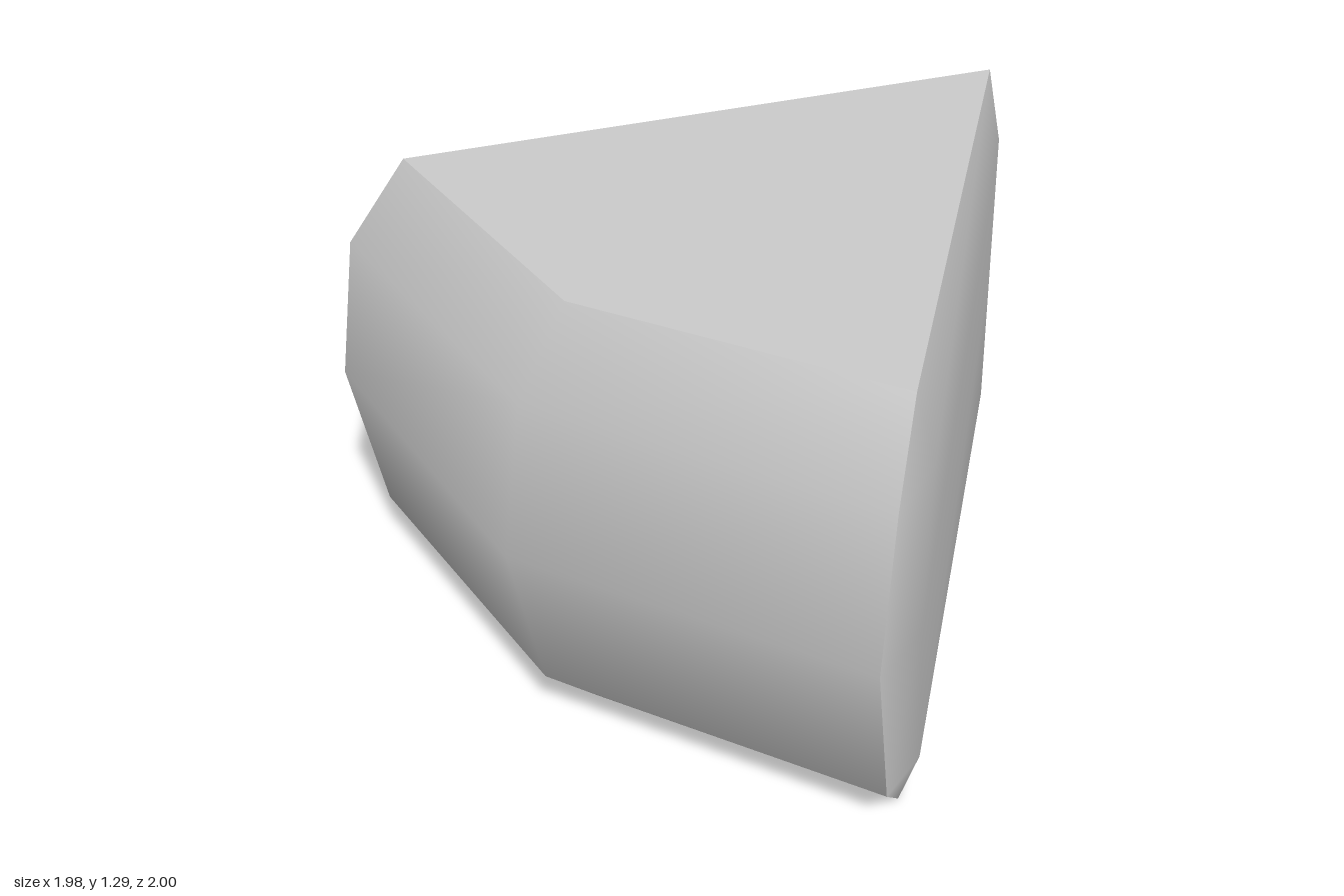
import * as THREE from 'three';
import { mergeVertices } from 'three/addons/utils/BufferGeometryUtils.js';

// Smooth surface through columns of points; each column runs from bottom to top.
function patch(columns) {
  const rows = columns[0].length;
  const index = [];
  for (let c = 0; c < columns.length - 1; c++) {
    for (let r = 0; r < rows - 1; r++) {
      const a = c * rows + r, b = a + rows;
      index.push(a, b, b + 1, a, b + 1, a + 1);
    }
  }
  let geometry = new THREE.BufferGeometry();
  geometry.setAttribute('position', new THREE.Float32BufferAttribute(columns.flat(2), 3));
  geometry.setIndex(index);
  geometry = mergeVertices(geometry); // joins collapsed corners
  geometry.computeVertexNormals();
  return geometry;
}

const TOP = 1.29, MID = 0.645;
const levels = [0, 0.18, MID, 1.07, TOP];

// Column mirrored about mid height: end, shoulder and middle are [x, z].
const column = (end, shoulder, middle, ys = levels) =>
  [end, shoulder, middle, shoulder, end].map(([x, z], i) => [x, ys[i], z]);

export function createModel() {
  const group = new THREE.Group();
  group.name = 'wedgeBlock';
  const grey = new THREE.MeshStandardMaterial({ color: 0xcccccc });
  const add = (name, geometry) => {
    const mesh = new THREE.Mesh(geometry, grey);
    mesh.name = name;
    group.add(mesh);
  };

  // Plan corners at the top and bottom edges
  const apex = [-0.23, -1], left = [0.86, 0.39], centre = [0.02, 0.75], right = [-0.89, 0.64];

  // Upright edges
  const apexEdge = column(apex, apex, apex);
  const leftEdge = column(left, [0.955, 0.53], [0.985, 0.6]);
  const centreEdge = column(centre, [0.03, 0.915], [0.04, 1]);
  const rightEdge = column(right, [-0.94, 0.81], [-0.98, 0.87]);

  // Raised side panels, their ends collapsing onto the corners
  const panel = [0, 0.18, MID, 1.11, TOP];
  const leftFront = column(left, [0.91, 0.37], [0.94, 0.42], panel);
  const leftBack = column(apex, [-0.13, -0.95], [-0.13, -0.95], panel);
  const rightBack = column(apex, [-0.32, -0.93], [-0.32, -0.93], panel);
  const rightFront = column(right, [-0.955, 0.64], [-0.99, 0.72], panel);

  add('curvedFront', patch([rightEdge, centreEdge, leftEdge]));
  add('leftSide', patch([leftEdge, leftFront, leftBack, apexEdge]));
  add('rightSide', patch([apexEdge, rightBack, rightFront, rightEdge]));

  // Flat caps
  const outline = new THREE.Shape([apex, right, centre, left].map(([x, z]) => new THREE.Vector2(x, -z)));
  const cap = new THREE.ShapeGeometry(outline);
  add('topFace', cap.clone().rotateX(-Math.PI / 2).translate(0, TOP, 0));
  const bottom = new THREE.Shape([apex, right, centre, left].map(([x, z]) => new THREE.Vector2(x, z)));
  add('bottomFace', new THREE.ShapeGeometry(bottom).rotateX(Math.PI / 2));

  return group;
}
